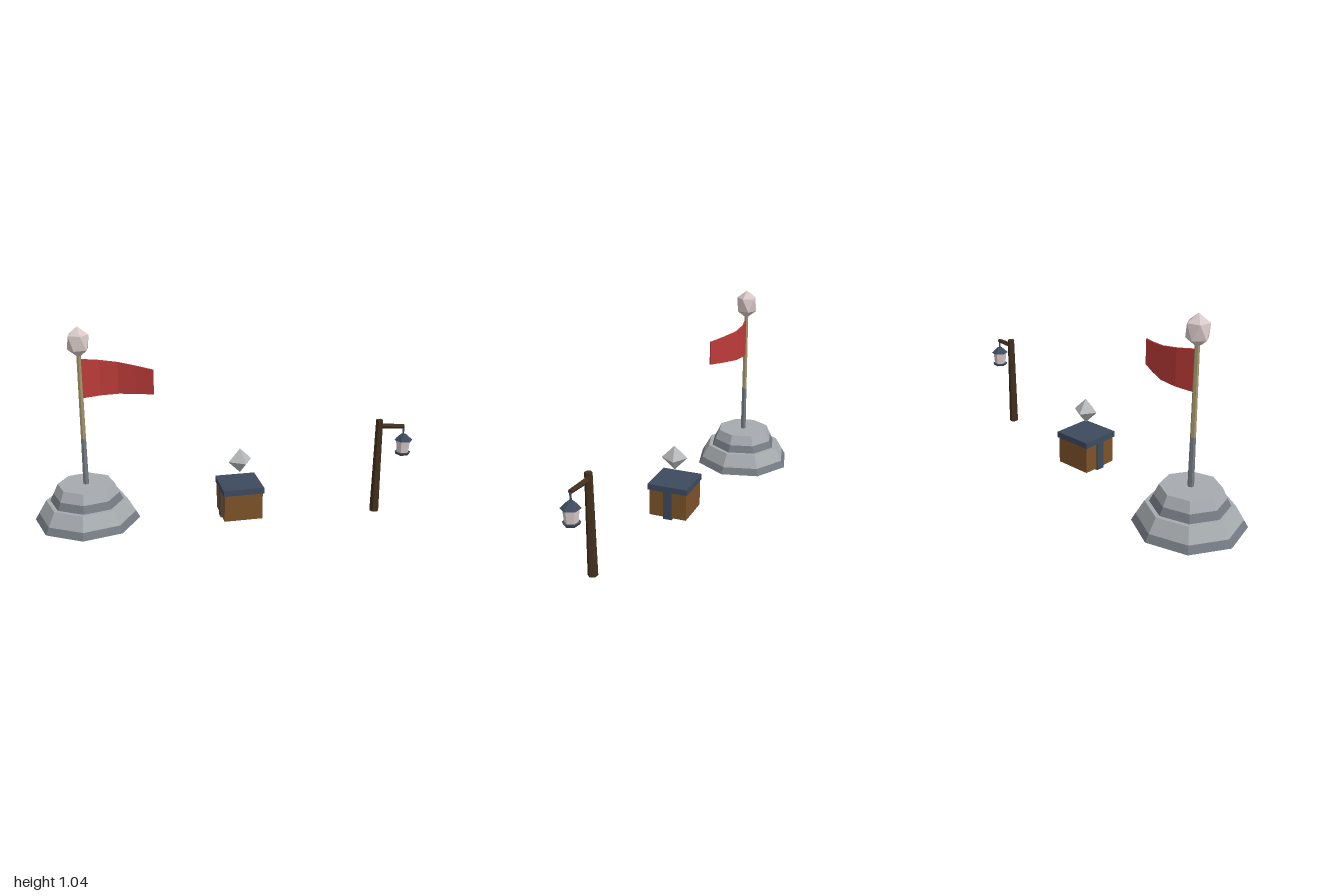
import * as THREE from 'three';

const paint = (name, color) => {
  const m = new THREE.MeshStandardMaterial({ color, flatShading: true });
  m.name = name;
  return m;
};

export function createModel() {
  const stone = paint('light stone', 0xa6abaf);
  const darkStone = paint('dark stone', 0x747a82);
  const slate = paint('slate', 0x3d4a5e);
  const wood = paint('wood', 0x7c5229);
  const darkWood = paint('dark wood', 0x44301e);
  const red = paint('red cloth', 0xbc3c39);
  const pale = paint('pale glass', 0xd8c9c8);
  const tan = paint('tan pole', 0xa5946c);
  const crystalGrey = paint('crystal grey', 0xb6b8ba);

  const model = new THREE.Group();
  const group = (name, x, y = 0, z = 0) => {
    const g = new THREE.Group();
    g.name = name;
    g.position.set(x, y, z);
    model.add(g);
    return g;
  };
  const add = (parent, name, geo, mat, x = 0, y = 0, z = 0) => {
    const m = new THREE.Mesh(geo, mat);
    m.name = name;
    m.position.set(x, y, z);
    parent.add(m);
    return m;
  };
  // Frustum between two heights; turn rotates the sides about y
  const frustum = (parent, name, mat, sides, y0, r0, y1, r1, turn = 0, x = 0) => {
    const geo = new THREE.CylinderGeometry(r1, r0, y1 - y0, sides);
    geo.rotateY(turn);
    return add(parent, name, geo, mat, x, (y0 + y1) / 2, 0);
  };

  // Flag monument: two eight-sided tiers with dark lower bands
  const flagStand = group('flagStand', -0.724);
  frustum(flagStand, 'lowerTierBand', [darkStone, stone, slate], 8, 0, 0.276, 0.037, 0.255);
  frustum(flagStand, 'lowerTier', stone, 8, 0.037, 0.255, 0.108, 0.214);
  frustum(flagStand, 'upperTierBand', darkStone, 8, 0.108, 0.192, 0.147, 0.173);
  frustum(flagStand, 'upperTier', stone, 8, 0.147, 0.173, 0.2, 0.148);
  frustum(flagStand, 'poleLower', darkStone, 6, 0.2, 0.016, 0.45, 0.014);
  frustum(flagStand, 'poleUpper', tan, 6, 0.45, 0.014, 0.9, 0.012);

  // Finial: tall twenty-sided gem, five faces around each tip
  const finial = new THREE.Group();
  finial.name = 'finial';
  finial.position.y = 0.957;
  flagStand.add(finial);
  const ring = (y, turn) => Array.from({ length: 5 }, (_, i) => {
    const a = turn + (i * Math.PI * 2) / 5;
    return [0.055 * Math.cos(a), y, -0.055 * Math.sin(a)];
  });
  const up = ring(0.037, 0), low = ring(-0.037, Math.PI / 5);
  const tris = [];
  for (let i = 0; i < 5; i++) {
    const j = (i + 1) % 5;
    tris.push([0, 0.079, 0], up[i], up[j]);
    tris.push(up[i], low[i], up[j]);
    tris.push(up[j], low[i], low[j]);
    tris.push([0, -0.079, 0], low[j], low[i]);
  }
  const gem = new THREE.BufferGeometry();
  gem.setAttribute('position', new THREE.Float32BufferAttribute(tris.flat(), 3));
  gem.computeVertexNormals();
  add(finial, 'finialGem', gem, pale);

  // Flag: thin cloth tapering and waving along its length
  const cloth = new THREE.BoxGeometry(1, 1, 0.008, 4, 1, 1);
  const wave = [0, -0.027, -0.031, -0.003, 0.033];
  const p = cloth.attributes.position;
  for (let i = 0; i < p.count; i++) {
    const t = p.getX(i) + 0.5;
    const top = p.getY(i) > 0;
    p.setXYZ(i, 0.008 + 0.361 * t, top ? 0.87 - 0.052 * t : 0.667 + 0.023 * t,
      p.getZ(i) + wave[Math.round(t * 4)]);
  }
  cloth.computeVertexNormals();
  add(flagStand, 'flag', cloth, red);

  // Chest with overhanging lid and a strap wrapped underneath
  const chest = group('chest', 0.083);
  chest.rotation.y = 0.15;
  add(chest, 'chestBody', new THREE.BoxGeometry(0.204, 0.147, 0.204), wood, 0, 0.0835, 0);
  add(chest, 'chestLid', new THREE.BoxGeometry(0.217, 0.032, 0.217), slate, 0, 0.171, 0);
  add(chest, 'chestStrap', new THREE.BoxGeometry(0.214, 0.156, 0.048), slate, 0, 0.078, 0);

  // Floating crystal
  const crystal = group('crystal', 0.085, 0.309);
  crystal.rotation.y = 0.4;
  add(crystal, 'crystalGem', new THREE.OctahedronGeometry(0.067), crystalGrey);

  // Lamp post with side arm
  const lamp = group('lampPost', 0.818);
  const turn = Math.PI / 6;
  frustum(lamp, 'post', darkWood, 6, 0, 0.0245, 0.518, 0.0185, turn);
  const arm = add(lamp, 'arm', new THREE.CylinderGeometry(0.011, 0.014, 0.134, 6), darkWood, 0.066, 0.482, 0);
  arm.rotation.z = -Math.PI / 2 - 0.04;

  // Hanging lantern
  const lantern = group('lantern', 0.952);
  frustum(lantern, 'hanger', slate, 6, 0.425, 0.005, 0.48, 0.005, turn, -0.003);
  frustum(lantern, 'lanternRoof', slate, 6, 0.403, 0.048, 0.434, 0.016, turn);
  frustum(lantern, 'lanternGlass', pale, 6, 0.337, 0.032, 0.404, 0.038, turn);
  frustum(lantern, 'lanternBase', slate, 6, 0.325, 0.037, 0.338, 0.042, turn);

  return model;
}
